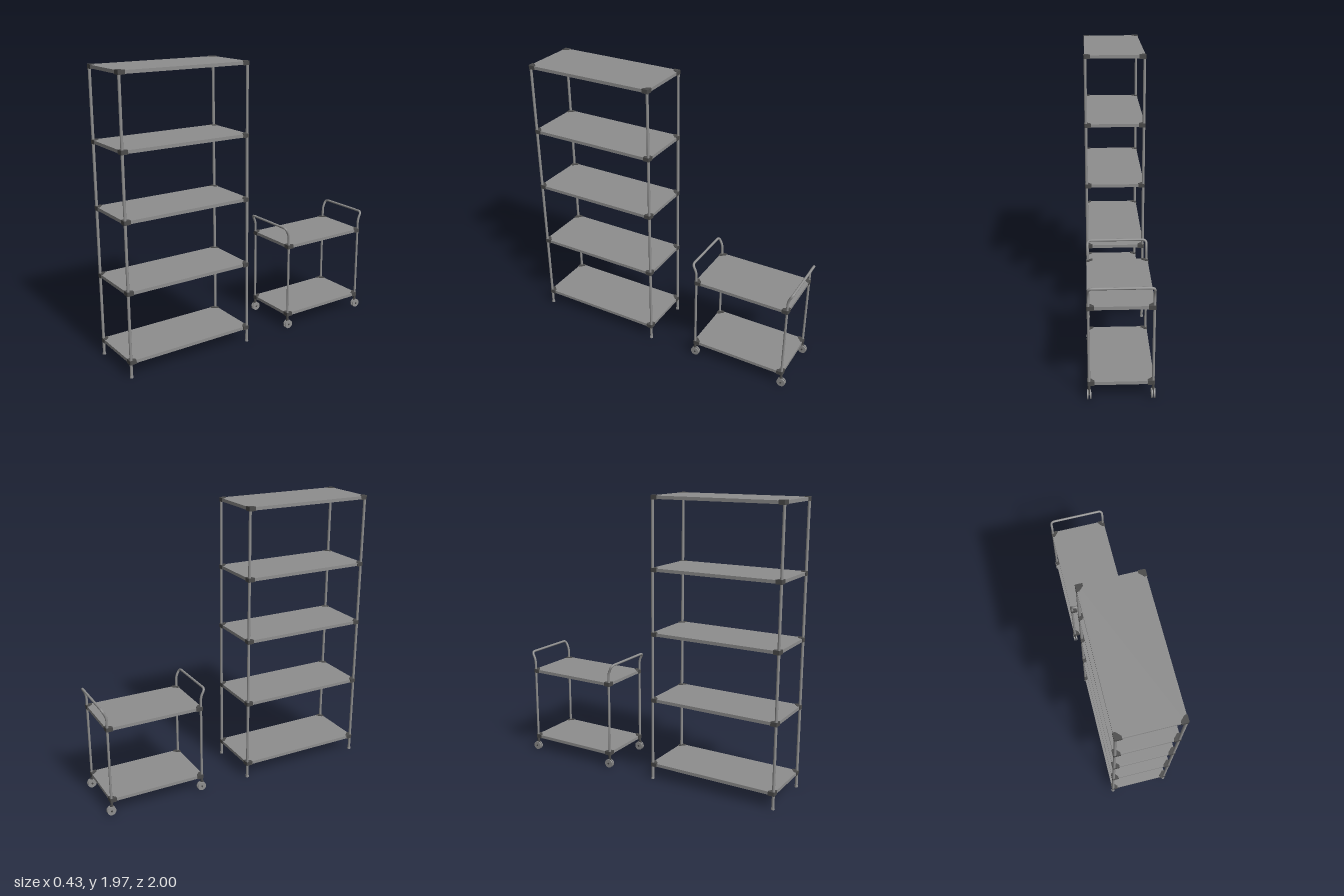
import * as THREE from 'three';

const metal = new THREE.MeshStandardMaterial({ name: 'grey metal', color: 0x8f8f8f });
const panel = new THREE.MeshStandardMaterial({ name: 'shelf grey', color: 0x8e8e8e });
const dark = new THREE.MeshStandardMaterial({ name: 'dark fitting', color: 0x4a4a4a });

const HALF_X = 0.2;

function add(parent, name, geometry, material, x = 0, y = 0, z = 0) {
  const mesh = new THREE.Mesh(geometry, material);
  mesh.name = name;
  mesh.position.set(x, y, z);
  parent.add(mesh);
  return mesh;
}

// calls fn for the four corners
function corners(halfZ, fn) {
  for (const sx of [-1, 1]) for (const sz of [-1, 1]) fn(sx, sz, sx * HALF_X, sz * halfZ);
}

// horizontal slab from a plan outline, centred on y = 0
function slab(shape, height) {
  const g = new THREE.ExtrudeGeometry(shape, { depth: height, bevelEnabled: false, curveSegments: 5 });
  g.rotateX(-Math.PI / 2);
  g.translate(0, -height / 2, 0);
  return g;
}

// corner clamp: rounded outside, cut diagonally inside, centred on the post
function clampGeometry() {
  const s = new THREE.Shape();
  s.moveTo(-0.035, 0.011);
  s.lineTo(0.004, 0.011);
  s.quadraticCurveTo(0.011, 0.011, 0.011, 0.004);
  s.lineTo(0.011, -0.035);
  s.lineTo(-0.006, -0.035);
  s.lineTo(-0.035, -0.006);
  s.closePath();
  return slab(s, 0.028);
}

// flat shelf with clipped corners and a clamp at each corner
function makeShelf(halfZ, y) {
  const shelf = new THREE.Group();
  shelf.name = 'shelf';
  shelf.position.y = y;
  const w = HALF_X + 0.007, d = halfZ + 0.007, c = 0.014;
  const outline = [[w, d - c], [w - c, d], [c - w, d], [-w, d - c],
    [-w, c - d], [c - w, -d], [w - c, -d], [w, c - d]];
  const shape = new THREE.Shape(outline.map(p => new THREE.Vector2(...p)));
  add(shelf, 'shelfPanel', slab(shape, 0.022), panel);
  const clamp = clampGeometry();
  corners(halfZ, (sx, sz, x, z) => {
    const m = add(shelf, 'cornerClamp', clamp, dark, x, 0, z);
    // the clamp points to +x, -z before turning
    m.rotation.y = sx > 0 ? (sz > 0 ? -Math.PI / 2 : 0) : (sz > 0 ? Math.PI : Math.PI / 2);
  });
  return shelf;
}

// polyline with rounded inner corners
function roundedPath(points, radius) {
  const path = new THREE.CurvePath();
  let last = points[0];
  for (let i = 1; i < points.length - 1; i++) {
    const p = points[i];
    const a = points[i - 1].clone().sub(p).setLength(radius).add(p);
    const b = points[i + 1].clone().sub(p).setLength(radius).add(p);
    path.add(new THREE.LineCurve3(last, a));
    path.add(new THREE.QuadraticBezierCurve3(a, p, b));
    last = b;
  }
  path.add(new THREE.LineCurve3(last, points[points.length - 1]));
  return path;
}

function makeRack() {
  const rack = new THREE.Group();
  rack.name = 'tallRack';
  rack.position.z = 0.532;
  const halfZ = 0.456;
  for (const y of [0.108, 0.58, 1.045, 1.483, 1.955]) rack.add(makeShelf(halfZ, y));
  const post = new THREE.CylinderGeometry(0.0095, 0.0095, 1.96, 16);
  const foot = new THREE.CylinderGeometry(0.0115, 0.0125, 0.012, 16);
  corners(halfZ, (sx, sz, x, z) => {
    add(rack, 'rackPost', post, metal, x, 0.985, z);
    add(rack, 'rackFoot', foot, metal, x, 0.006, z);
  });
  return rack;
}

// swivel caster with twin wheels
function makeCaster() {
  const caster = new THREE.Group();
  caster.name = 'caster';
  const wheel = new THREE.CylinderGeometry(0.031, 0.031, 0.009, 24).rotateZ(Math.PI / 2);
  for (const s of [-1, 1]) add(caster, 'wheel', wheel, metal, s * 0.0085, 0.031, -0.004);
  add(caster, 'axle', new THREE.CylinderGeometry(0.007, 0.007, 0.03, 12).rotateZ(Math.PI / 2), dark, 0, 0.031, -0.004);
  add(caster, 'fork', new THREE.BoxGeometry(0.008, 0.045, 0.02), dark, 0, 0.048, 0);
  add(caster, 'stem', new THREE.CylinderGeometry(0.009, 0.009, 0.045, 12), dark, 0, 0.08, 0);
  return caster;
}

function makeCart() {
  const cart = new THREE.Group();
  cart.name = 'serviceCart';
  cart.position.z = -0.628;
  const halfZ = 0.335;
  for (const y of [0.108, 0.63]) cart.add(makeShelf(halfZ, y));
  // each end frame is one bent tube: two posts, outward bends and a handle bar
  for (const s of [-1, 1]) {
    const z0 = s * halfZ, z1 = s * 0.364;
    const pts = [
      [-HALF_X, 0.08, z0], [-HALF_X, 0.715, z0], [-HALF_X, 0.772, z1],
      [HALF_X, 0.772, z1], [HALF_X, 0.715, z0], [HALF_X, 0.08, z0],
    ].map(p => new THREE.Vector3(...p));
    add(cart, 'postsAndHandle', new THREE.TubeGeometry(roundedPath(pts, 0.028), 180, 0.0085, 12), metal);
  }
  corners(halfZ, (sx, sz, x, z) => {
    const c = makeCaster();
    c.position.set(x, 0, z);
    cart.add(c);
  });
  return cart;
}

export function createModel() {
  const model = new THREE.Group();
  model.name = 'rackAndCart';
  model.add(makeRack(), makeCart());
  return model;
}
